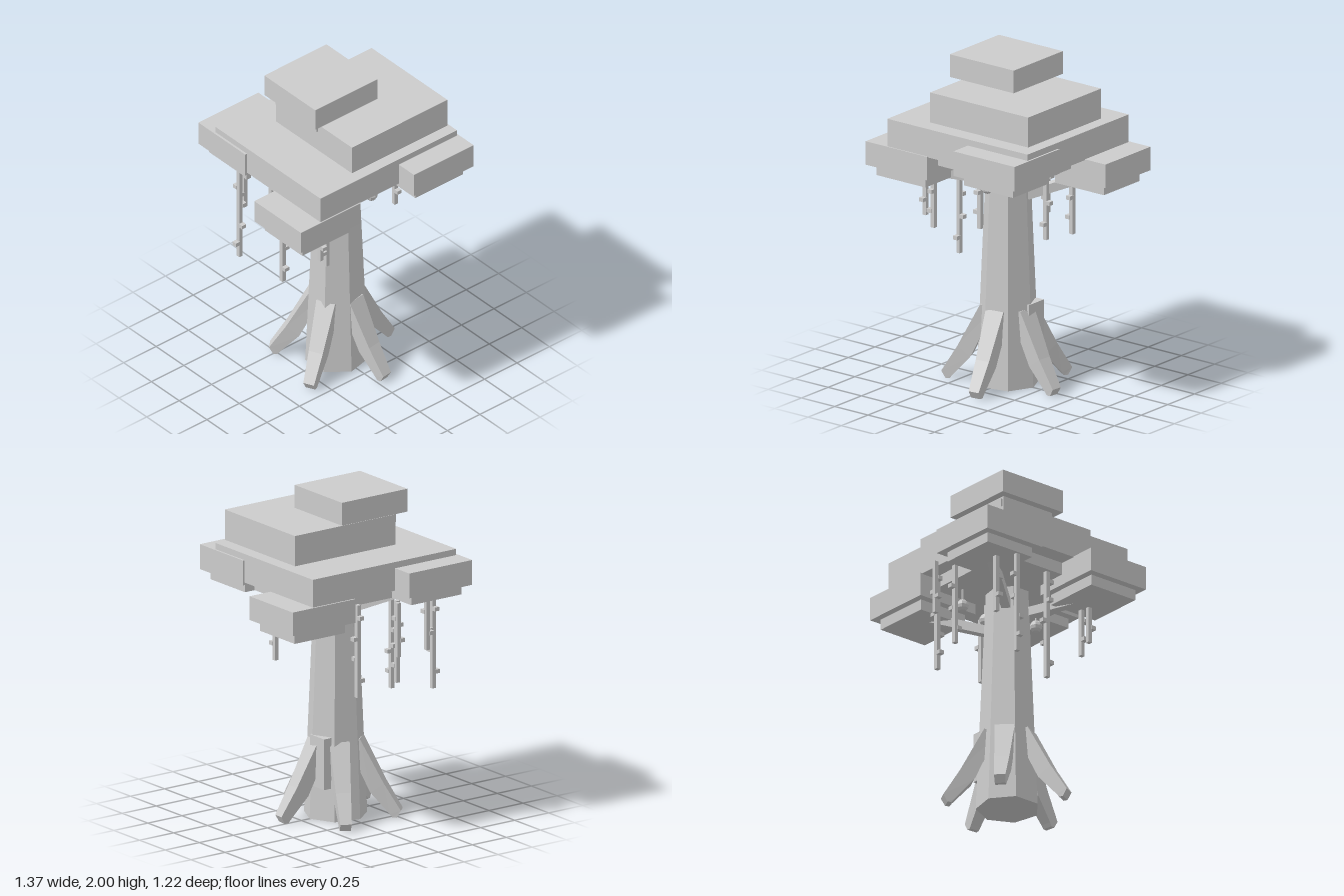
import * as THREE from 'three';

export function createModel() {
  const tree = new THREE.Group();
  const grey = new THREE.MeshStandardMaterial({ color: 0xcccccc });
  grey.name = 'light grey';

  function add(name, geometry, parent = tree) {
    // Separate faces keep every edge sharp
    const g = geometry.index ? geometry.toNonIndexed() : geometry;
    g.computeVertexNormals();
    const mesh = new THREE.Mesh(g, grey);
    mesh.name = name;
    parent.add(mesh);
    return mesh;
  }

  function block(name, x0, x1, y0, y1, z0, z1, parent) {
    const mesh = add(name, new THREE.BoxGeometry(x1 - x0, y1 - y0, z1 - z0), parent);
    mesh.position.set((x0 + x1) / 2, (y0 + y1) / 2, (z0 + z1) / 2);
    return mesh;
  }

  // Trunk: tapered, seven sides
  const trunk = add('trunk', new THREE.CylinderGeometry(0.128, 0.19, 1.45, 7));
  trunk.position.y = 0.725;
  trunk.rotation.y = Math.PI / 2;
  block('trunkSlab', 0.12, 0.173, 0.2, 0.51, -0.12, 0.02);

  // Canopy: slabs, each with a smaller one beneath; [x0, x1, y0, y1, z0, z1, lower y]
  const canopy = new THREE.Group();
  canopy.name = 'canopy';
  tree.add(canopy);
  const slabs = [
    [-0.305, 0.175, 1.86, 2.0, -0.295, 0.165, 1.795],
    [-0.245, 0.492, 1.66, 1.845, -0.258, 0.425, 1.6],
    [-0.528, 0.525, 1.46, 1.635, -0.475, 0.472, 1.385],
    [-0.685, -0.224, 1.32, 1.465, 0.06, 0.48, 1.255],
    [0.077, 0.537, 1.445, 1.597, 0.187, 0.608, 1.385],
    [0.22, 0.68, 1.32, 1.465, -0.485, -0.065, 1.255],
    [-0.542, -0.08, 1.445, 1.597, -0.612, -0.19, 1.385],
  ];
  for (const [x0, x1, y0, y1, z0, z1, low] of slabs) {
    block('leafSlab', x0, x1, y0, y1, z0, z1, canopy);
    const dx = (x1 - x0) * 0.1, dz = (z1 - z0) * 0.1;
    block('lowerLeafSlab', x0 + dx, x1 - dx, low, y0, z0 + dz, z1 - dz, canopy);
  }

  // Roots: bent tapered prisms; stations give [outer r, outer y, inner r, inner y, half width]
  const stations = [
    [0.37, 0.0, 0.345, 0.0, 0.032],
    [0.395, 0.045, 0.33, 0.02, 0.034],
    [0.295, 0.21, 0.215, 0.15, 0.045],
    [0.155, 0.48, 0.07, 0.46, 0.06],
  ];
  function rootGeometry() {
    const g = new THREE.BoxGeometry(1, 1, 1, 1, stations.length - 1, 1);
    const p = g.attributes.position;
    for (let i = 0; i < p.count; i++) {
      const s = stations[Math.round((p.getY(i) + 0.5) * (stations.length - 1))];
      const outer = p.getX(i) > 0;
      p.setXYZ(i, outer ? s[0] : s[2], outer ? s[1] : s[3], Math.sign(p.getZ(i)) * s[4]);
    }
    return g;
  }
  for (const angle of [5, 82, 155, 227, 298]) {
    const root = add('root', rootGeometry());
    root.rotation.y = -THREE.MathUtils.degToRad(angle);
  }

  // Branches: square bars from the trunk to the corner slabs
  const branches = [
    [[0.09, 1.16, -0.04], [0.38, 1.28, -0.27]],
    [[-0.08, 1.25, 0.06], [-0.42, 1.29, 0.25]],
    [[0.03, 1.32, 0.08], [0.3, 1.41, 0.37]],
    [[-0.08, 1.27, -0.08], [-0.3, 1.42, -0.38]],
  ];
  for (const [a, b] of branches) {
    const from = new THREE.Vector3(...a), to = new THREE.Vector3(...b);
    const bar = add('branch', new THREE.BoxGeometry(0.055, 0.055, from.distanceTo(to)));
    bar.position.copy(from).add(to).multiplyScalar(0.5);
    bar.lookAt(to);
  }

  // Fruit on thin stems
  for (const [x, y, z] of [[0.05, 1.275, 0.255], [0.195, 1.29, -0.01], [0.11, 1.28, -0.255]]) {
    add('fruit', new THREE.SphereGeometry(0.038, 8, 6)).position.set(x, y, z);
    block('fruitStem', x - 0.005, x + 0.005, y, 1.4, z - 0.005, z + 0.005);
  }

  // Hanging vines with small leaves on alternating sides; [x, z, top, bottom]
  const vines = [
    [-0.47, -0.325, 1.4, 0.76], [-0.39, -0.03, 1.4, 0.705],
    [-0.325, 0.29, 1.27, 0.96], [-0.38, 0.3, 1.27, 1.03],
    [-0.37, -0.4, 1.4, 1.03], [0.365, 0.1, 1.4, 0.98],
    [0.15, -0.415, 1.4, 0.835], [-0.09, -0.48, 1.4, 0.9],
    [-0.025, -0.575, 1.42, 1.09],
  ];
  const sides = [[-1, 0], [0, 1], [1, 0], [0, -1]];
  vines.forEach(([x, z, top, bottom], v) => {
    const vine = new THREE.Group();
    vine.name = 'vine';
    tree.add(vine);
    block('vineStem', x - 0.013, x + 0.013, bottom, top, z - 0.013, z + 0.013, vine);
    for (let y = bottom + 0.1, k = v % 2; y < top - 0.06; y += 0.13, k++) {
      const [sx, sz] = sides[k % 4];
      const cx = x + sx * 0.025, cz = z + sz * 0.025;
      block('vineLeaf', cx - 0.016, cx + 0.016, y - 0.012, y + 0.012, cz - 0.016, cz + 0.016, vine);
    }
  });

  return tree;
}
